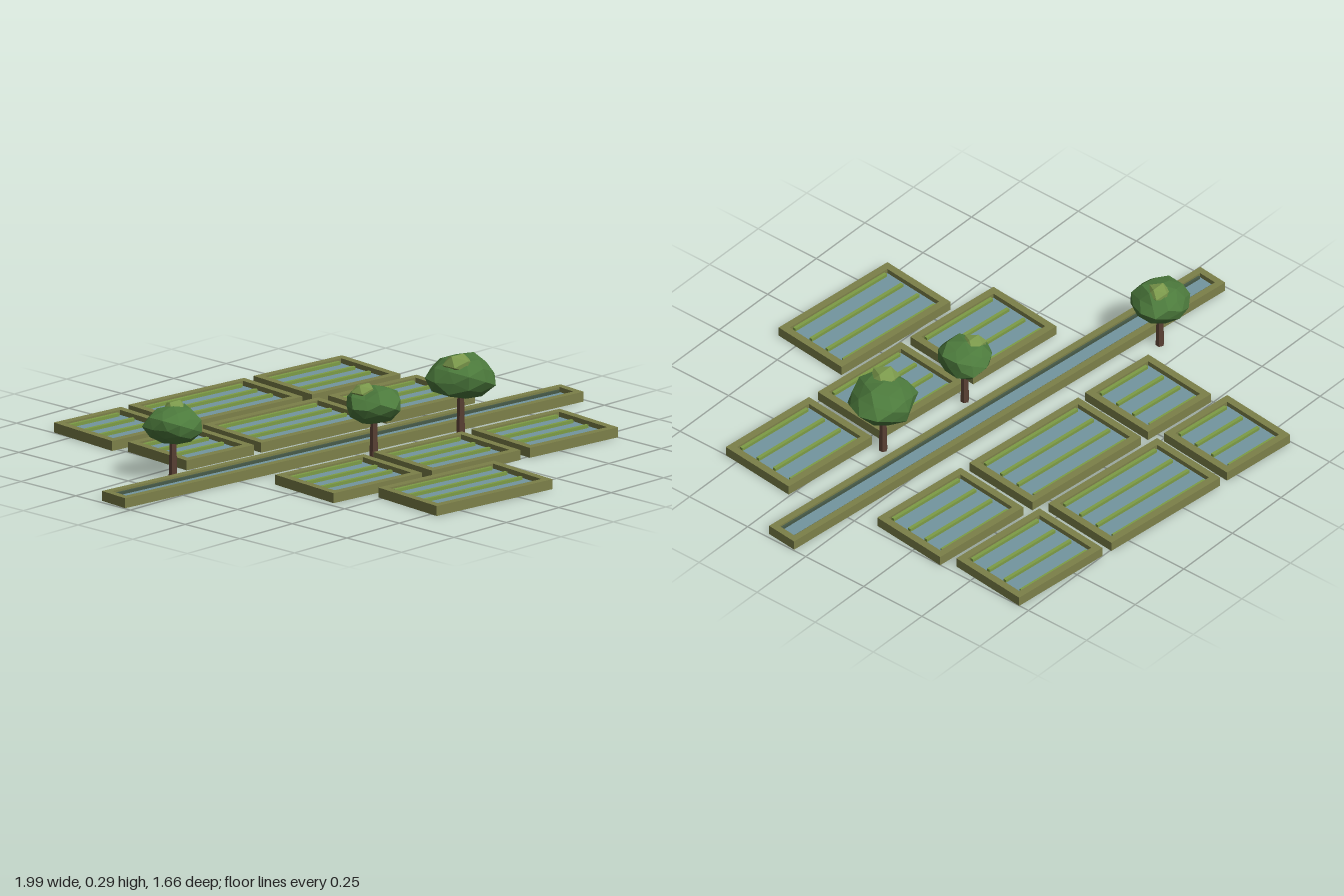
import * as THREE from 'three';

const mat = (color, side = THREE.FrontSide) =>
  new THREE.MeshStandardMaterial({ color, flatShading: true, side });
const earth = mat(0x7c8049), water = mat(0x7396a0), crop = mat(0x7d9c46);
const wetEdge = mat(0x475a48), bark = mat(0x5a4034);
const leaf = mat(0x4c7a3c), lightLeaf = mat(0x7c9a4c);

const TILT = -0.1, RIM = 0.034, WATER = 0.017;

function add(parent, name, geometry, material, x = 0, y = 0, z = 0) {
  const mesh = new THREE.Mesh(geometry, material);
  mesh.name = name;
  mesh.position.set(x, y, z);
  parent.add(mesh);
  return mesh;
}

// Earth bank around a rectangular pool of water
function basin(name, x, z, w, d, bank) {
  const group = new THREE.Group();
  group.name = name;
  group.position.set(x, 0, z);
  group.rotation.y = TILT;
  const rect = (path, a, b) => path.moveTo(-a, -b).lineTo(a, -b).lineTo(a, b).lineTo(-a, b).closePath();
  const shape = rect(new THREE.Shape(), w / 2, d / 2);
  shape.holes.push(rect(new THREE.Path(), w / 2 - bank, d / 2 - bank));
  const frame = new THREE.ExtrudeGeometry(shape, { depth: RIM, bevelEnabled: false }).rotateX(-Math.PI / 2);
  add(group, 'bank', frame, earth);
  const iw = w - 2 * bank, id = d - 2 * bank;
  add(group, 'soilFloor', new THREE.BoxGeometry(iw, 0.008, id), earth, 0, 0.004, 0);
  add(group, 'water', new THREE.BoxGeometry(iw, WATER - 0.008, id), water, 0, (WATER + 0.008) / 2, 0);
  return group;
}

// Flooded field with four crop rows
function paddy(x, z, w) {
  const d = 0.297, field = basin('paddy', x, z, w, d, 0.026);
  for (let i = 0; i < 4; i++) {
    add(field, 'cropRow', new THREE.BoxGeometry(w - 0.08, 0.012, 0.012), crop,
      0, WATER + 0.005, (i - 1.5) * 0.077);
  }
  return field;
}

// Faceted foliage: an icosphere whose shared corners move in or out by a seeded amount
function foliage(rx, ry, rz, seed, detail) {
  const geo = new THREE.IcosahedronGeometry(1, detail);
  const p = geo.attributes.position, v = new THREE.Vector3();
  for (let i = 0; i < p.count; i++) {
    v.fromBufferAttribute(p, i);
    const key = Math.round(v.x * 100) * 12.99 + Math.round(v.y * 100) * 78.23 + Math.round(v.z * 100) * 37.72;
    const n = Math.sin(key + seed) * 43758.5453;
    v.multiplyScalar(0.86 + 0.2 * (n - Math.floor(n)));
    p.setXYZ(i, v.x * rx, v.y * ry, v.z * rz);
  }
  geo.computeVertexNormals();
  return geo;
}

function tree(x, z, r, crownY, crownH, tuft, seed) {
  const group = new THREE.Group();
  group.name = 'tree';
  group.position.set(x, 0, z);
  add(group, 'trunk', new THREE.CylinderGeometry(0.01, 0.015, crownY, 6), bark, 0, crownY / 2, 0);
  add(group, 'crown', foliage(r, crownH, r, seed, 1), leaf, 0, crownY, 0);
  add(group, 'crownTuft', foliage(r * 0.46, crownH * 0.45, r * 0.46, seed + 3, 0), lightLeaf, ...tuft);
  return group;
}

export function createModel() {
  const model = new THREE.Group();
  model.name = 'riceFields';

  // Irrigation channel with dark wet edges
  const channel = basin('channel', 0, 0.0125, 1.99, 0.118, 0.024);
  for (const s of [-1, 1]) {
    add(channel, 'wetEdge', new THREE.BoxGeometry(1.93, 0.012, 0.008), wetEdge, 0, WATER + 0.004, s * 0.032);
  }
  model.add(channel);

  // Fields: centre x, centre z, width
  const fields = [
    [-0.365, -0.672, 0.292], [0.065, -0.632, 0.502], [0.545, -0.582, 0.384],
    [-0.365, -0.332, 0.292], [0.065, -0.292, 0.502], [0.545, -0.242, 0.384],
    [-0.27, 0.298, 0.384], [0.153, 0.342, 0.384], [0.575, 0.385, 0.384],
    [-0.088, 0.657, 0.502],
  ];
  for (const f of fields) model.add(paddy(...f));

  // Trees along the channel
  model.add(
    tree(-0.625, -0.165, 0.1, 0.185, 0.068, [0.02, 0.232, -0.01], 1),
    tree(0.02, 0.135, 0.095, 0.183, 0.066, [-0.03, 0.228, -0.015], 2),
    tree(0.395, 0.173, 0.118, 0.21, 0.08, [-0.04, 0.262, 0.025], 5),
  );
  return model;
}
